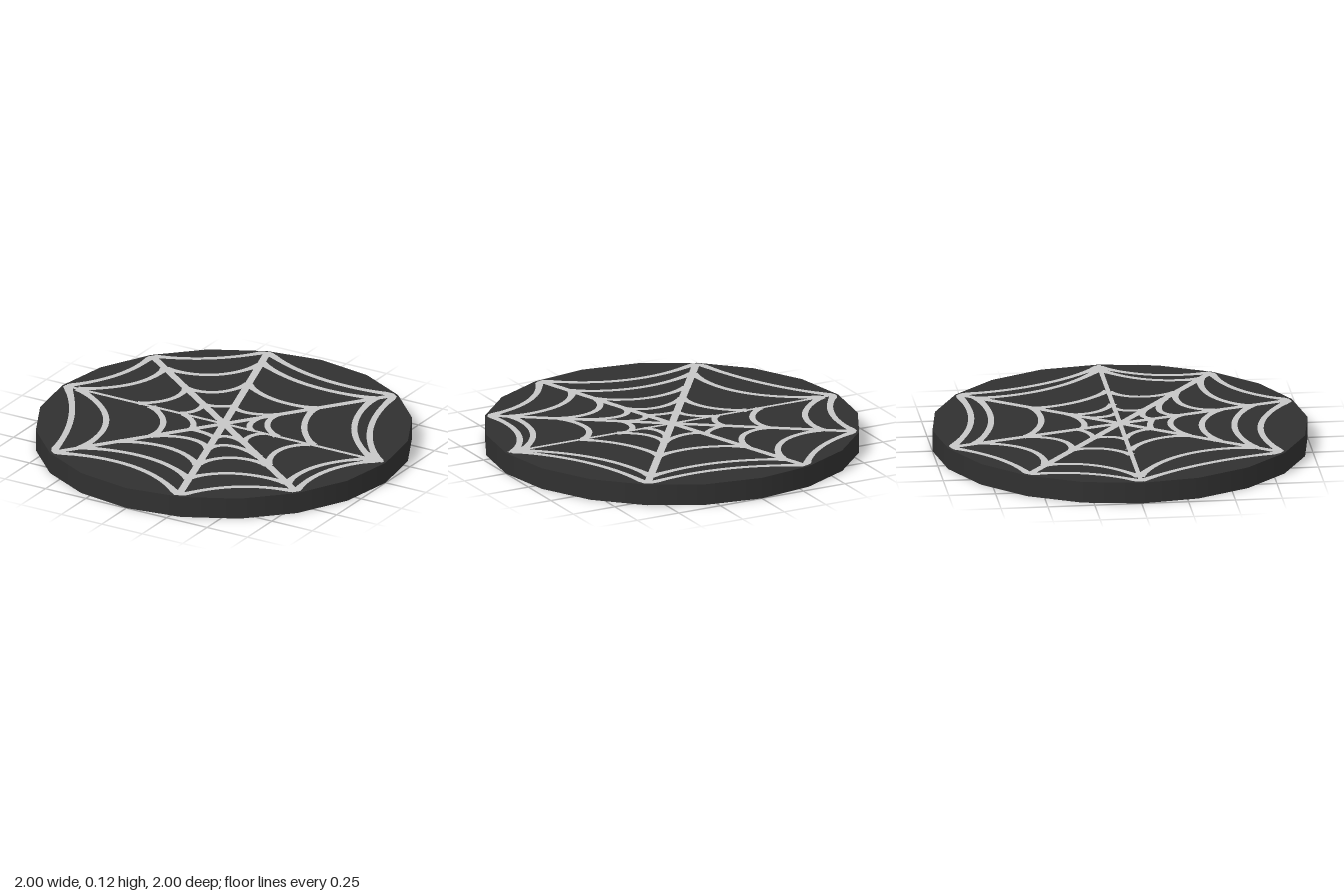
import * as THREE from 'three';
import { mergeGeometries } from 'three/addons/utils/BufferGeometryUtils.js';

const HEIGHT = 0.117;
const SIDES = 20;

// Spoke directions, in degrees clockwise from the back.
const SPOKES = [36, 90, 126, 163, 216, 270, 306, 342.5];

// For each sector: radius on its first spoke, radius on the next spoke, inward sag.
const STRANDS = [
  [[0.99, 0.96, 0.09], [0.86, 0.92, 0.1], [0.52, 0.55, 0.05], [0.3, 0.33, 0.05], [0.21, 0.17, 0.03]],
  [[0.95, 0.98, 0.085], [0.9, 0.86, 0.085], [0.53, 0.6, 0.08], [0.25, 0.27, 0.03]],
  [[0.98, 0.99, 0.09], [0.86, 0.74, 0.09], [0.6, 0.55, 0.09], [0.48, 0.34, 0.09], [0.27, 0.2, 0.05]],
  [[0.99, 0.99, 0.14], [0.76, 0.82, 0.1], [0.57, 0.6, 0.09], [0.34, 0.42, 0.07], [0.19, 0.19, 0.01]],
  [[0.99, 0.97, 0.06], [0.82, 0.9, 0.14], [0.41, 0.45, 0.06], [0.19, 0.25, 0.03]],
  [[0.98, 0.98, 0.07], [0.9, 0.8, 0.09], [0.53, 0.51, 0.06], [0.27, 0.28, 0.03]],
  [[0.98, 0.99, 0.06], [0.8, 0.81, 0.11], [0.51, 0.55, 0.08], [0.28, 0.25, 0.02]],
  [[0.98, 0.99, 0.09], [0.84, 0.87, 0.08], [0.54, 0.53, 0.06], [0.22, 0.31, 0.04]],
];

// Point in plan (x, z) on a spoke.
function onSpoke(index, radius) {
  const a = THREE.MathUtils.degToRad(SPOKES[index % SPOKES.length]);
  return new THREE.Vector2(Math.sin(a) * radius, -Math.cos(a) * radius);
}

// Flat upward-facing ribbon along a plan curve; halfWidth is a function of t.
function ribbon(curve, halfWidth, steps) {
  const positions = [], normals = [], index = [];
  for (let i = 0; i <= steps; i++) {
    const t = i / steps;
    const p = curve.getPoint(t), d = curve.getTangent(t), w = halfWidth(t);
    for (const s of [1, -1]) {
      // Keep the web inside the rim
      const q = new THREE.Vector2(p.x - d.y * w * s, p.y + d.x * w * s).clampLength(0, 0.985);
      positions.push(q.x, 0, q.y);
      normals.push(0, 1, 0);
    }
    if (i < steps) {
      const a = i * 2;
      index.push(a, a + 2, a + 1, a + 1, a + 2, a + 3);
    }
  }
  const g = new THREE.BufferGeometry();
  g.setAttribute('position', new THREE.Float32BufferAttribute(positions, 3));
  g.setAttribute('normal', new THREE.Float32BufferAttribute(normals, 3));
  g.setIndex(index);
  return g;
}

function webGeometry() {
  const parts = [];
  SPOKES.forEach((angle, i) => {
    // Straight spoke, slimmer on the cross-wise pair
    const half = angle % 90 === 0 ? 0.012 : 0.02;
    parts.push(ribbon(new THREE.LineCurve(new THREE.Vector2(), onSpoke(i, 0.985)), () => half, 2));

    // Sagging strands that flare where they meet the spokes
    for (const [r0, r1, sag] of STRANDS[i]) {
      const a = onSpoke(i, r0), b = onSpoke(i + 1, r1);
      const mid = a.clone().add(b).multiplyScalar(0.5);
      const control = mid.clone().addScaledVector(mid.clone().normalize(), -2 * sag);
      const flare = 0.012 * Math.min(1, a.distanceTo(b) / 0.4);
      const half = (t) => 0.0165 + flare * Math.pow(Math.abs(2 * t - 1), 6);
      parts.push(ribbon(new THREE.QuadraticBezierCurve(a, control, b), half, 16));
    }
  });
  return mergeGeometries(parts);
}

export function createModel() {
  const model = new THREE.Group();
  model.name = 'webLid';

  const dark = new THREE.MeshStandardMaterial({ color: 0x303030, side: THREE.DoubleSide });
  dark.name = 'charcoal';
  const pale = new THREE.MeshStandardMaterial({ color: 0xc6c6c6, side: THREE.DoubleSide });
  pale.name = 'paleGrey';

  const add = (name, geometry, material, y) => {
    const mesh = new THREE.Mesh(geometry, material);
    mesh.name = name;
    mesh.position.y = y;
    model.add(mesh);
  };

  // Shallow lid, open underneath
  const top = HEIGHT - 0.002;
  add('rim', new THREE.CylinderGeometry(1, 1, top, SIDES, 1, true), dark, top / 2);
  add('topDisc', new THREE.CircleGeometry(1, SIDES).rotateX(-Math.PI / 2), dark, top);

  // Web shown on both faces of the disc
  const web = webGeometry();
  add('webTop', web, pale, top + 0.002);
  add('webUnderside', web, pale, top - 0.002);

  return model;
}
